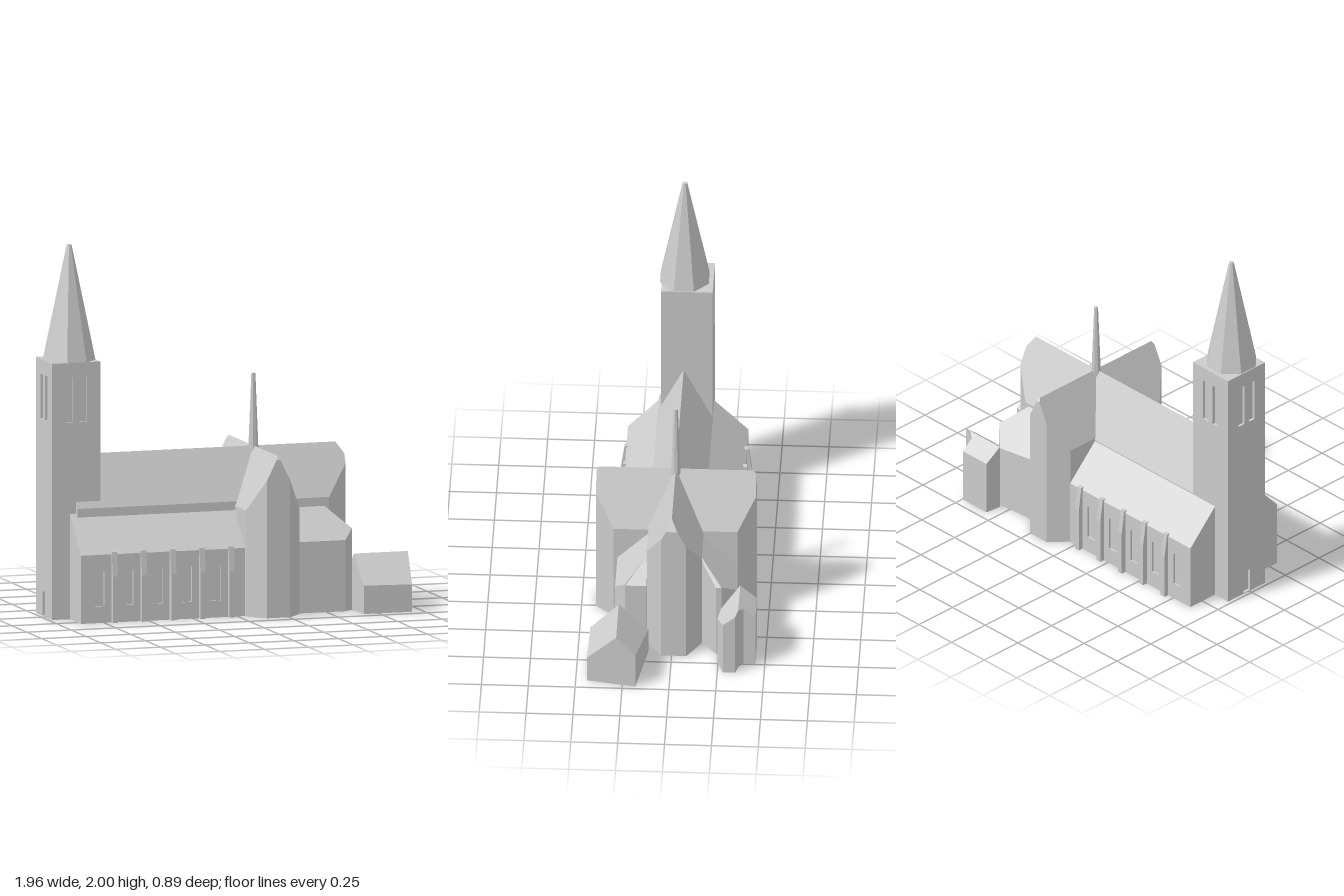
import * as THREE from 'three';

export function createModel() {
  const church = new THREE.Group();
  church.name = 'church';
  const stone = new THREE.MeshStandardMaterial({ color: 0xcccccc });
  stone.name = 'paleStone';

  const add = (name, geometry, parent = church) => {
    const mesh = new THREE.Mesh(geometry, stone);
    mesh.name = name;
    parent.add(mesh);
    return mesh;
  };

  // Convex plan of [x, z] points raised from base to a planar roof height(x, z)
  function prism(name, plan, height, base = 0) {
    let area = 0;
    plan.forEach(([x, z], i) => {
      const [x2, z2] = plan[(i + 1) % plan.length];
      area += z * x2 - x * z2;
    });
    const ring = area > 0 ? plan : [...plan].reverse();
    const low = ring.map(([x, z]) => [x, base, z]);
    const top = ring.map(([x, z]) => [x, height(x, z), z]);
    const pos = [];
    const tri = (...corners) => corners.forEach((c) => pos.push(...c));
    for (let i = 0; i < ring.length; i++) {
      const j = (i + 1) % ring.length;
      tri(low[i], low[j], top[j]);
      tri(low[i], top[j], top[i]);
      if (i > 0 && j > 0) {
        tri(top[0], top[i], top[j]);
        tri(low[0], low[j], low[i]);
      }
    }
    const g = new THREE.BufferGeometry();
    g.setAttribute('position', new THREE.Float32BufferAttribute(pos, 3));
    g.computeVertexNormals();
    return add(name, g);
  }

  // Wall panel facing local +z with rectangular openings [x, y, width, height]
  function panel(name, width, height, depth, openings) {
    const rect = (path, x, y, w, h) =>
      path.moveTo(x, y).lineTo(x + w, y).lineTo(x + w, y + h).lineTo(x, y + h).closePath();
    const shape = new THREE.Shape();
    rect(shape, -width / 2, 0, width, height);
    for (const [x, y, w, h] of openings) {
      const hole = new THREE.Path();
      rect(hole, x - w / 2, y, w, h);
      shape.holes.push(hole);
    }
    return add(name, new THREE.ExtrudeGeometry(shape, { depth, bevelEnabled: false }));
  }

  // Tower: core with pierced panels on three faces
  const recess = 0.015;
  const core = add('towerCore', new THREE.BoxGeometry(0.255, 1.38, 0.245));
  core.position.set(-0.8375, 0.69, -0.0175);
  const belfry = [[-0.038, 1.06, 0.042, 0.24], [0.038, 1.06, 0.042, 0.24]];
  panel('towerFrontWall', 0.27, 1.38, recess, belfry).position.set(-0.845, 0, 0.105);
  const towerBack = panel('towerBackWall', 0.27, 1.38, recess, belfry);
  towerBack.position.set(-0.845, 0, -0.14);
  towerBack.rotation.y = Math.PI;
  const towerWest = panel('towerWestWall', 0.245, 1.38, recess, [...belfry, [0, 0.005, 0.05, 0.13]]);
  towerWest.position.set(-0.965, 0, -0.0175);
  towerWest.rotation.y = -Math.PI / 2;

  // Eight-sided spires with a flat side forward
  function spire(name, rTop, rBottom, y0, y1, x) {
    const g = new THREE.CylinderGeometry(rTop, rBottom, y1 - y0, 8, 1, false, Math.PI / 8).toNonIndexed();
    g.computeVertexNormals();
    add(name, g).position.set(x, (y0 + y1) / 2, 0);
  }
  spire('towerSpire', 0.013, 0.141, 1.38, 2, -0.845);
  spire('crossingFleche', 0.011, 0.028, 0.83, 1.26, 0.19);

  // Nave with a clipped, angled east end
  const ridge = 0.87;
  const naveRoof = (x, z) => ridge - 2 * Math.abs(z);
  for (const [s, w, flat] of [[1, 0.138, 0.055], [-1, 0.155, 0.078]]) {
    prism(s > 0 ? 'naveSouth' : 'naveNorth', [
      [-0.845, 0], [0.65, 0], [0.69, s * 0.03], [0.69, s * flat], [0.57, s * w], [-0.845, s * w],
    ], naveRoof);
  }
  prism('naveHip', [[0.65, 0], [0.69, 0.03], [0.69, -0.03]], (x) => ridge - 1.5 * (x - 0.65));

  // Transept with angled ends
  const cx = 0.19;
  const transeptRoof = (x) => ridge - 2 * Math.abs(x - cx);
  for (const s of [1, -1]) {
    prism(s > 0 ? 'transeptEast' : 'transeptWest', [
      [cx, -0.415], [cx + s * 0.01, -0.43], [cx + s * 0.064, -0.43], [cx + s * 0.15, -0.335],
      [cx + s * 0.15, 0.325], [cx + s * 0.064, 0.423], [cx + s * 0.01, 0.423], [cx, 0.408],
    ], transeptRoof);
    const end = s > 0 ? 0.423 : -0.43;
    prism('transeptHip', [[cx, end - s * 0.015], [cx + 0.01, end], [cx - 0.01, end]],
      (x, z) => ridge - 0.02 * (1 - Math.abs(end - z) / 0.015));
  }

  // Buttress side profile, extruded across its width
  const profile = new THREE.Shape([[-0.02, 0], [0.027, 0], [0.027, 0.25], [0.008, 0.38], [-0.02, 0.38]]
    .map(([x, y]) => new THREE.Vector2(x, y)));
  const buttress = new THREE.ExtrudeGeometry(profile, { depth: 0.03, bevelEnabled: false });
  buttress.translate(0, 0, -0.015);

  // Side aisles: lean-to roof, pierced walls and buttresses
  for (const [side, s, inner, outer] of [['south', 1, 0.12, 0.305], ['north', -1, 0.14, 0.338]]) {
    const slope = 0.2 / (outer - inner);
    const roof = (x, z) => 0.567 - slope * (Math.abs(z) - inner);
    const plan = (edge) => [[-0.88, s * inner], [0.06, s * inner], [0.06, s * edge], [-0.88, s * edge]];
    prism(side + 'AisleRoof', plan(outer), roof, 0.3);
    prism(side + 'AisleCore', plan(outer - 0.012), () => 0.31);
    const windows = [];
    for (let i = 0; i < 5; i++) {
      windows.push([s * (-0.777 + 0.164 * i + 0.41), 0.09, 0.055, 0.19]);
      const b = add(side + 'Buttress', buttress);
      b.position.set(-0.695 + 0.164 * i, 0, s * outer);
      b.rotation.y = -s * Math.PI / 2;
    }
    const wall = panel(side + 'AisleWall', 0.94, 0.3, 0.012, windows);
    wall.position.set(-0.41, 0, s * (outer - 0.012));
    wall.rotation.y = s > 0 ? 0 : Math.PI;
  }

  // Chapels beside the choir, each with a hipped end
  const chapelHip = (x) => 0.55 - (x - 0.54);
  prism('southChapel', [[0.32, 0.135], [0.54, 0.135], [0.66, 0.25], [0.605, 0.305], [0.32, 0.305]],
    (x, z) => 0.55 - 0.98 * (z - 0.135));
  prism('southChapelHip', [[0.54, 0.135], [0.66, 0.25], [0.66, 0.135]], chapelHip);
  prism('northChapel', [[0.32, -0.15], [0.54, -0.15], [0.66, -0.265], [0.57, -0.345], [0.32, -0.325]],
    (x, z) => 0.55 + z + 0.15);
  prism('northChapelHip', [[0.54, -0.15], [0.57, -0.165], [0.66, -0.235], [0.66, -0.265]], chapelHip);

  // South-east annex with a skewed gable
  const hallRoof = (x, z) => 0.305 - Math.abs(z - 0.283);
  prism('southAnnexFront', [[0.66, 0.283], [0.963, 0.283], [0.935, 0.44], [0.665, 0.435]], hallRoof);
  prism('southAnnexBack', [[0.66, 0.283], [0.963, 0.283], [0.98, 0.18], [0.66, 0.125]], hallRoof);

  // North-east annex
  const vestryRoof = (x, z) => 0.375 - 0.8 * Math.abs(z + 0.36);
  prism('northAnnexBack', [[0.555, -0.36], [0.78, -0.36], [0.745, -0.385], [0.745, -0.45], [0.565, -0.45]], vestryRoof);
  prism('northAnnexFront', [
    [0.555, -0.36], [0.78, -0.36], [0.83, -0.345], [0.83, -0.28], [0.74, -0.247], [0.66, -0.262],
  ], vestryRoof);

  return church;
}
